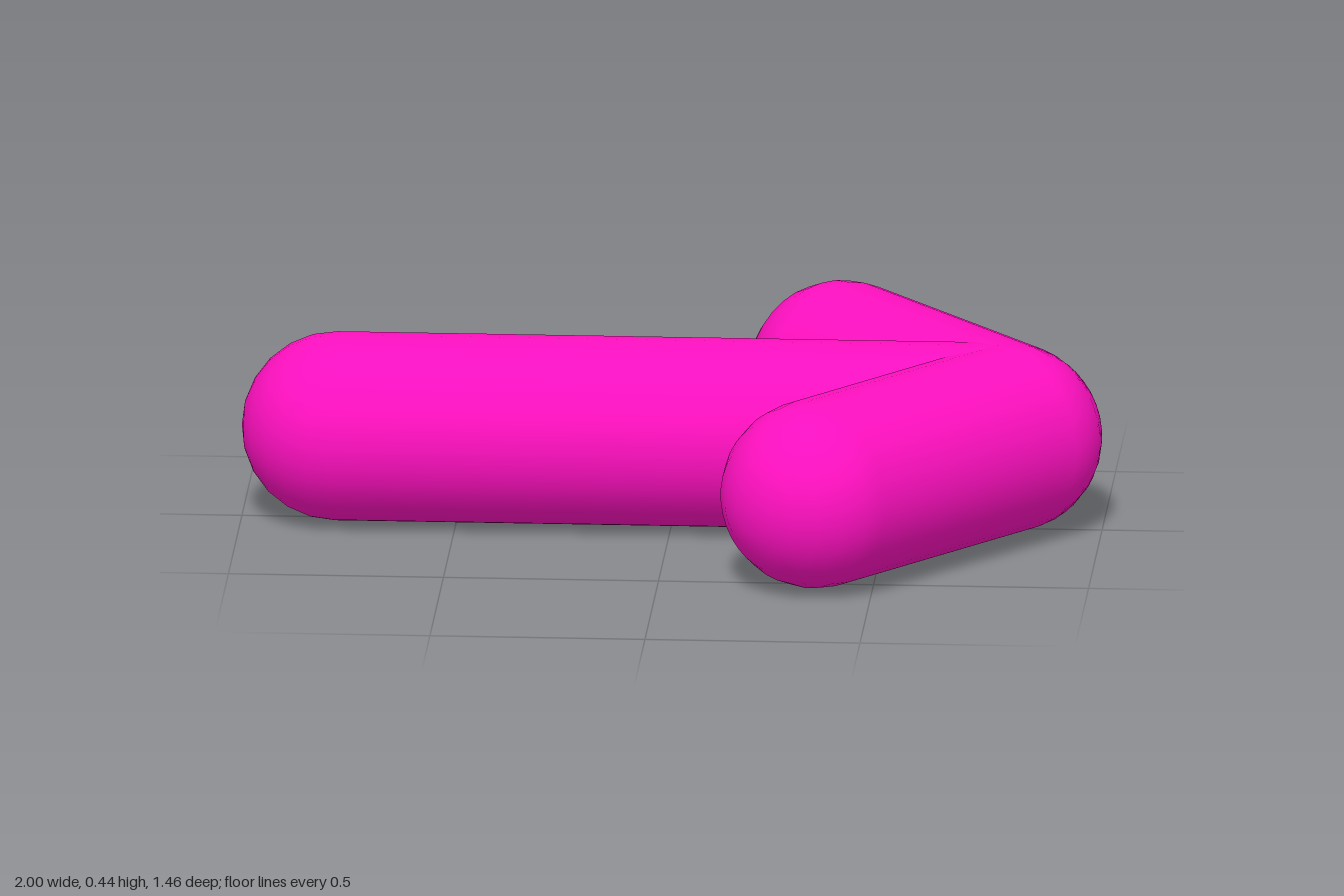
import * as THREE from 'three';

const RADIUS = 0.22;
const HEIGHT = 0.224;

// Round-ended rod between two points [x, z] lying at the same height
function rod(name, a, b, material) {
  const start = new THREE.Vector3(a[0], HEIGHT, a[1]);
  const end = new THREE.Vector3(b[0], HEIGHT, b[1]);
  const dir = end.clone().sub(start);
  const mesh = new THREE.Mesh(new THREE.CapsuleGeometry(RADIUS, dir.length(), 6, 32), material);
  mesh.name = name;
  mesh.position.copy(start).add(end).multiplyScalar(0.5);
  mesh.quaternion.setFromUnitVectors(new THREE.Vector3(0, 1, 0), dir.normalize());
  return mesh;
}

export function createModel() {
  const group = new THREE.Group();
  group.name = 'arrow';
  const material = new THREE.MeshStandardMaterial({ color: 0xff10c0 });
  const tip = [0.78, 0];

  // Straight shaft running into the tip
  group.add(rod('shaft', [-0.78, 0], tip, material));

  // Two swept-back arms of the arrowhead
  for (const side of [-1, 1]) {
    group.add(rod(side > 0 ? 'frontArm' : 'backArm', [0.365, side * 0.51], tip, material));
  }
  return group;
}
